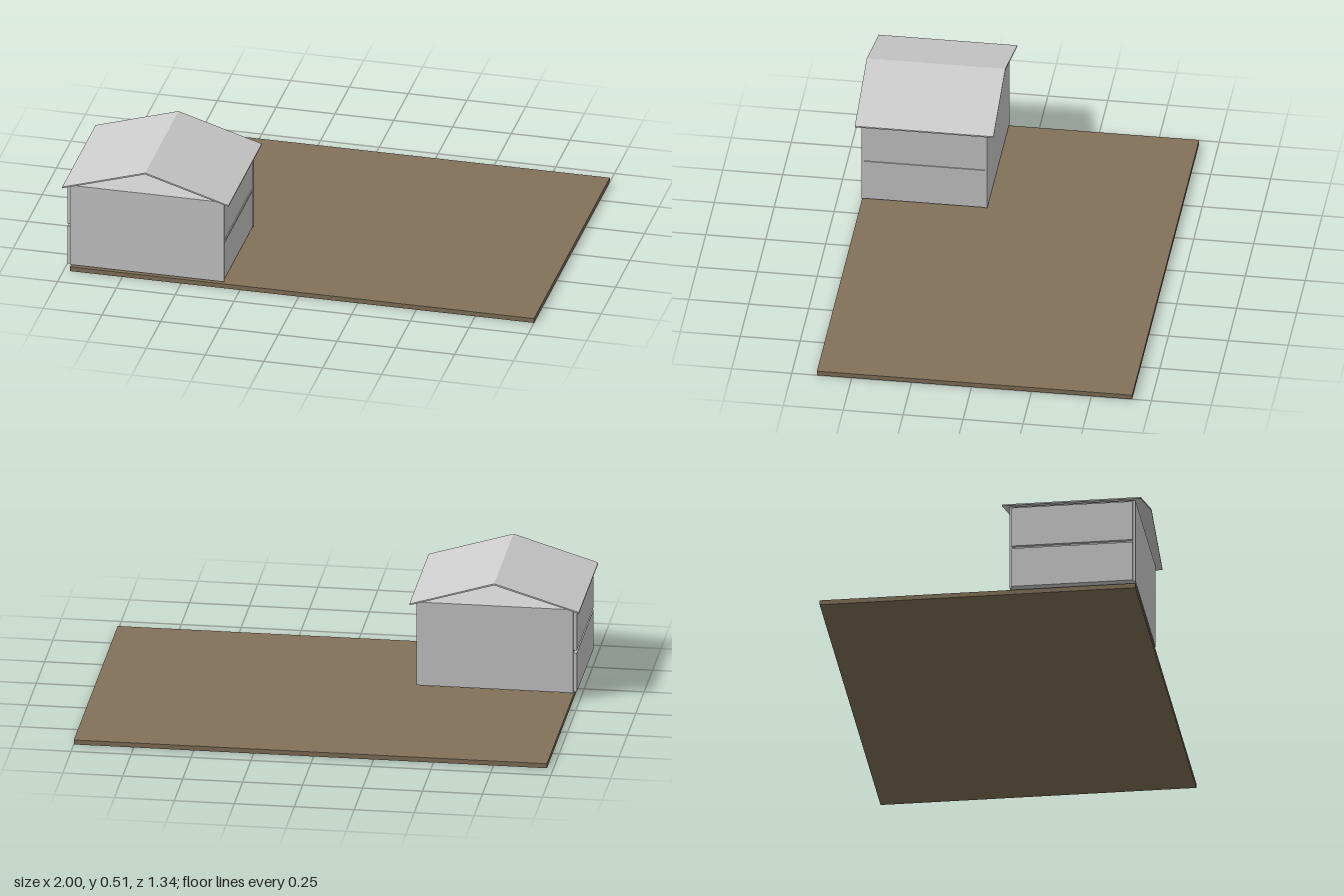
import * as THREE from 'three';

export function createModel() {
  const group = new THREE.Group();
  const earth = new THREE.MeshStandardMaterial({ color: 0x83725a });
  earth.name = 'earth brown';
  const grey = new THREE.MeshStandardMaterial({ color: 0xcccccc });
  grey.name = 'light grey';

  // Box given by its lower and upper corners
  function box(name, material, [x0, y0, z0], [x1, y1, z1]) {
    const mesh = new THREE.Mesh(new THREE.BoxGeometry(x1 - x0, y1 - y0, z1 - z0), material);
    mesh.position.set((x0 + x1) / 2, (y0 + y1) / 2, (z0 + z1) / 2);
    mesh.name = name;
    group.add(mesh);
  }

  // Plot of ground
  box('ground', earth, [-0.973, 0, -0.67], [1, 0.02, 0.645]);

  // Long front and back walls
  box('frontWall', grey, [-0.972, 0.03, 0.635], [-0.318, 0.398, 0.645]);
  box('backWall', grey, [-0.972, 0.03, 0.121], [-0.318, 0.398, 0.131]);

  // Floor between the storeys and ceiling under the roof
  box('upperFloor', grey, [-0.972, 0.203, 0.131], [-0.318, 0.214, 0.635]);
  box('ceiling', grey, [-0.972, 0.388, 0.131], [-0.318, 0.398, 0.635]);
  box('groundFloor', grey, [-0.972, 0.03, 0.131], [-0.335, 0.036, 0.635]);

  // End walls per storey: proud on the right, recessed on the left
  for (const [storey, y0, y1] of [['lower', 0.03, 0.203], ['upper', 0.214, 0.388]]) {
    box(storey + 'RightEndWall', grey, [-0.986, y0, 0.131], [-0.971, y1, 0.635]);
    box(storey + 'LeftEndWall', grey, [-0.335, y0, 0.131], [-0.322, y1, 0.635]);
  }

  // Thin gabled roof, open at both gables
  const profile = new THREE.Shape([
    [-1, 0.393], [-0.647, 0.5], [-0.293, 0.393],
    [-0.293, 0.399], [-0.647, 0.507], [-1, 0.399],
  ].map(([x, y]) => new THREE.Vector2(x, y)));
  const roof = new THREE.Mesh(
    new THREE.ExtrudeGeometry(profile, { depth: 0.578, bevelEnabled: false }), grey);
  roof.position.z = 0.092;
  roof.name = 'roof';
  group.add(roof);

  return group;
}
